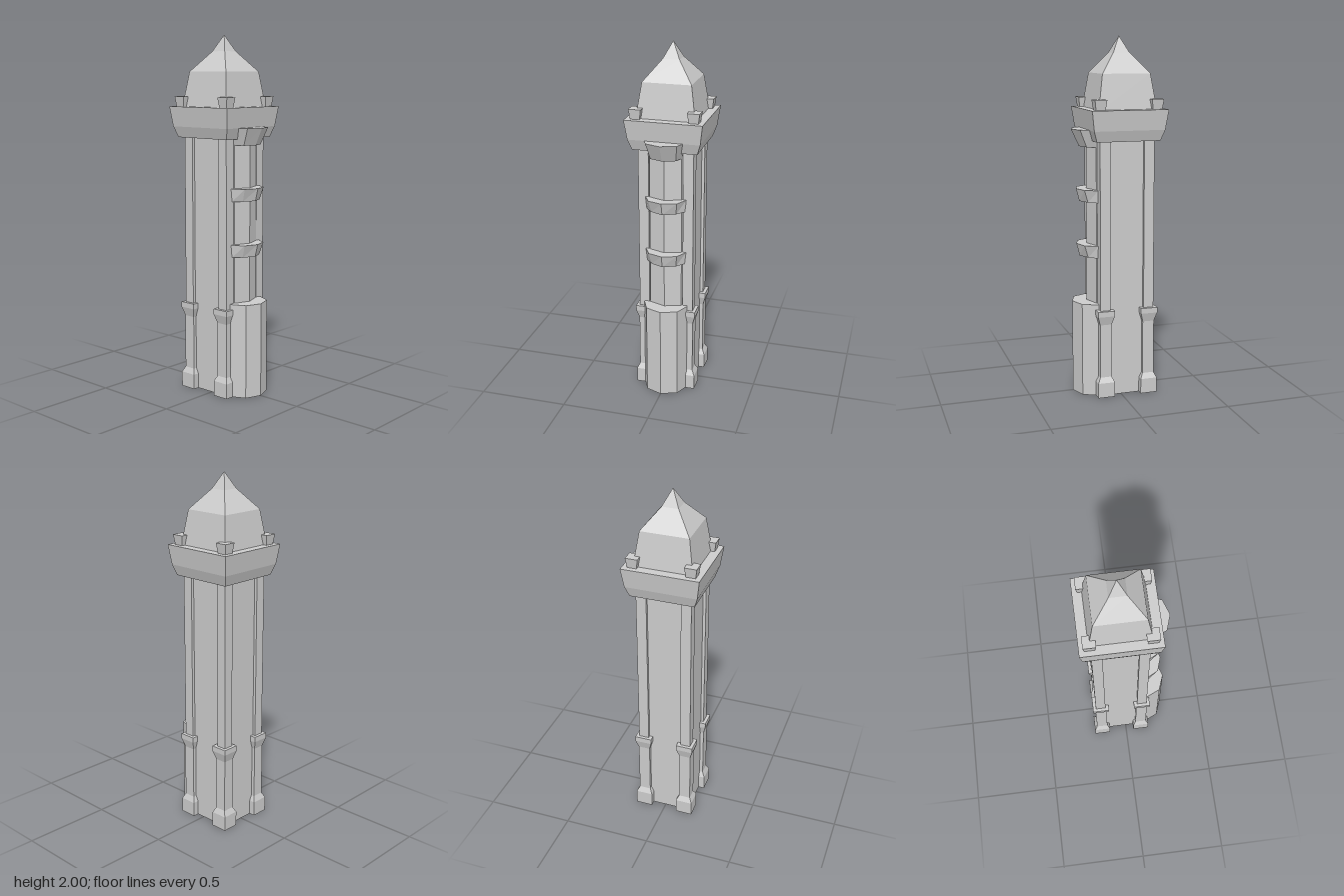
import * as THREE from 'three';

const CZ = -0.03; // depth of the tower axis
const material = new THREE.MeshStandardMaterial({ color: 0xcccccc, flatShading: true });

// Horizontal outline points [x, z], running from +x towards +z
const square = (h) => [[h, -h], [h, h], [-h, h], [-h, -h]];
const bay = (front, midX, midZ, sideX, sideZ, back) => [
  [sideX, back], [sideX, sideZ], [midX, midZ], [0, front],
  [-midX, midZ], [-sideX, sideZ], [-sideX, back],
];

// Closed, faceted solid through sections [y, outline]
function loft(name, sections, x = 0, z = 0) {
  const pos = [];
  const tri = (a, b, c) => {
    const t = new THREE.Triangle(...[a, b, c].map((p) => new THREE.Vector3(...p)));
    if (t.getArea() > 1e-9) pos.push(...a, ...b, ...c);
  };
  const rings = sections.map(([y, pts]) => pts.map(([px, pz]) => [px, y, pz]));
  const n = rings[0].length;
  for (let r = 0; r < rings.length - 1; r++) {
    for (let i = 0; i < n; i++) {
      const j = (i + 1) % n;
      const lo = rings[r], hi = rings[r + 1];
      tri(lo[i], hi[i], lo[j]);
      tri(lo[j], hi[i], hi[j]);
    }
  }
  const bottom = rings[0], top = rings[rings.length - 1];
  for (let i = 1; i < n - 1; i++) {
    tri(bottom[0], bottom[i], bottom[i + 1]);
    tri(top[0], top[i + 1], top[i]);
  }
  const geometry = new THREE.BufferGeometry();
  geometry.setAttribute('position', new THREE.Float32BufferAttribute(pos, 3));
  geometry.computeVertexNormals();
  const mesh = new THREE.Mesh(geometry, material);
  mesh.name = name;
  mesh.position.set(x, 0, z);
  return mesh;
}

// Square solid from a profile of [y, half width]
const tower = (name, profile, x = 0, z = CZ) =>
  loft(name, profile.map(([y, h]) => [y, square(h)]), x, z);

export function createModel() {
  const model = new THREE.Group();
  model.name = 'tower';

  // Main shaft, gallery and pointed roof
  model.add(
    tower('shaft', [[0, 0.138], [1.46, 0.138]]),
    tower('gallery', [[1.44, 0.18], [1.5, 0.2], [1.61, 0.215]]),
    tower('roof', [[1.6, 0.165], [1.8, 0.135], [1.91, 0.046], [2, 0]]),
  );

  // Corner pillars, their footings and the gallery corner blocks
  for (const sx of [-1, 1]) {
    for (const sz of [-1, 1]) {
      const at = (d) => [sx * d, CZ + sz * d];
      model.add(
        tower('cornerPillar', [[0, 0.029], [1.46, 0.029]], ...at(0.126)),
        tower('pillarFooting', [
          [0, 0.048], [0.085, 0.048], [0.115, 0.033],
          [0.42, 0.033], [0.47, 0.048], [0.5, 0.048],
        ], ...at(0.125)),
        tower('cornerBlock', [[1.6, 0.025], [1.665, 0.034]], ...at(0.16)),
      );
    }
  }

  // Faceted bay on the front: base, column and bands
  const baseOutline = bay(0.245, 0.09, 0.212, 0.125, 0.135, 0.05);
  model.add(loft('bayBase', [[0, baseOutline], [0.53, baseOutline]]));
  const columnOutline = bay(0.16, 0.09, 0.128, 0.1, 0.1, 0.05);
  model.add(loft('bayColumn', [[0.5, columnOutline], [1.46, columnOutline]]));
  for (const y of [0.79, 1.1]) {
    model.add(loft('bayBand', [
      [y, bay(0.2, 0.07, 0.17, 0.108, 0.125, 0.08)],
      [y + 0.07, bay(0.218, 0.08, 0.192, 0.116, 0.125, 0.08)],
    ]));
  }
  model.add(loft('bayCap', [
    [1.405, bay(0.2, 0.07, 0.176, 0.09, 0.125, 0.08)],
    [1.5, bay(0.245, 0.086, 0.216, 0.11, 0.16, 0.08)],
  ]));

  return model;
}
